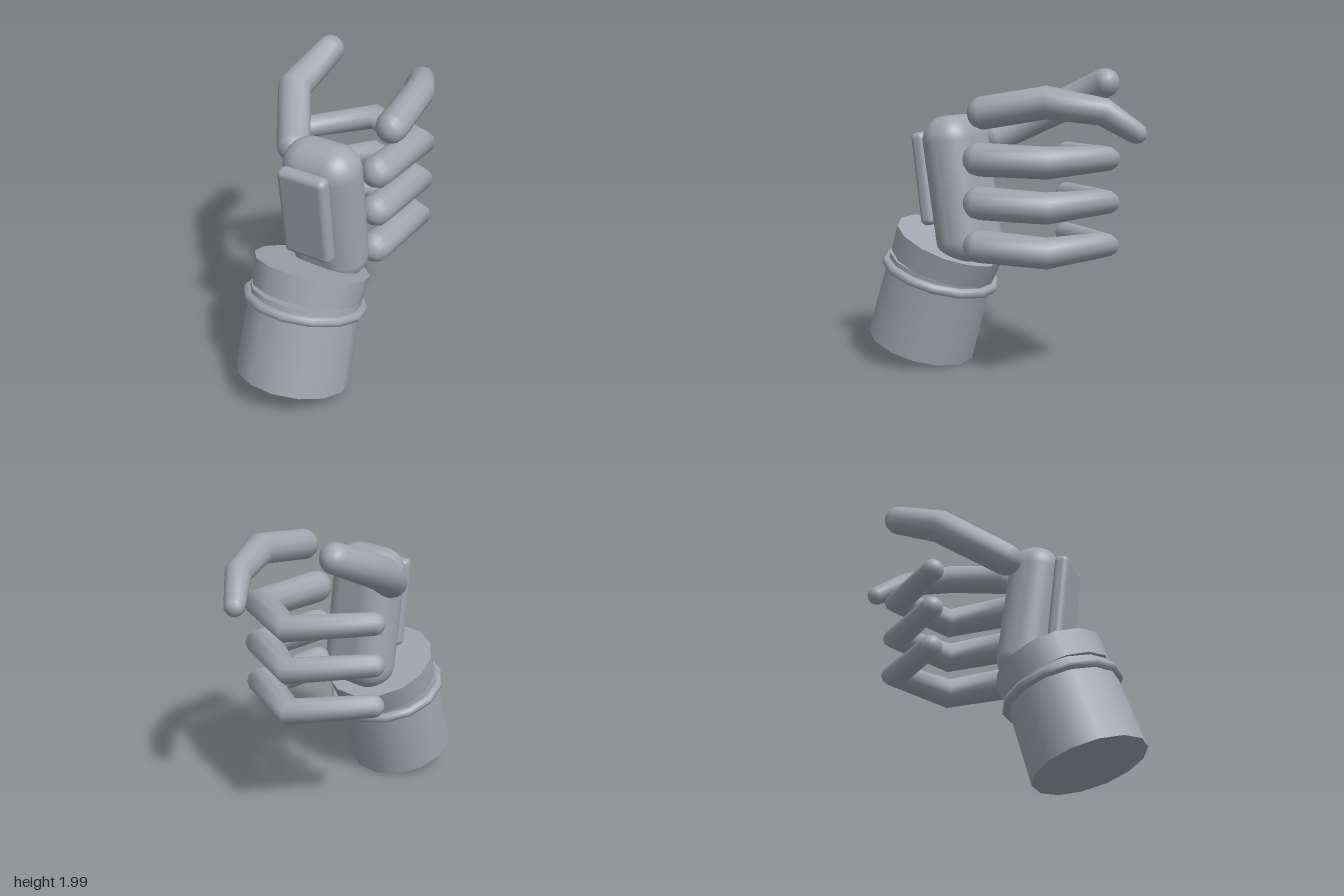
import * as THREE from 'three';
import { mergeVertices } from 'three/addons/utils/BufferGeometryUtils.js';
import { RoundedBoxGeometry } from 'three/addons/geometries/RoundedBoxGeometry.js';

const SIDES = 12, CAP = 5;

// Tapered, mitred tube with round ends; joints are [x, y, z, radius]
function fingerGeometry(joints) {
  const pts = joints.map(([x, y, z]) => new THREE.Vector3(x, y, z));
  const dirs = pts.slice(1).map((p, i) => p.clone().sub(pts[i]).normalize());
  const last = pts.length - 1;
  const positions = [], index = [];

  let u = new THREE.Vector3(0, 1, 0);
  u.addScaledVector(dirs[0], -u.dot(dirs[0])).normalize();

  const addRing = (centre, radius, t, n) => {
    const v = new THREE.Vector3().crossVectors(t, u);
    for (let j = 0; j < SIDES; j++) {
      const a = (j / SIDES) * Math.PI * 2;
      const d = u.clone().multiplyScalar(Math.cos(a) * radius)
        .addScaledVector(v, Math.sin(a) * radius);
      d.addScaledVector(t, -d.dot(n) / t.dot(n)).add(centre); // slide onto mitre plane
      positions.push(d.x, d.y, d.z);
    }
  };
  const addCapRing = (p, r, t, angle) =>
    addRing(p.clone().addScaledVector(t, r * Math.sin(angle)), r * Math.cos(angle), t, t);

  for (let k = 0; k <= CAP; k++) {
    addCapRing(pts[0], joints[0][3], dirs[0], (k / CAP - 1) * Math.PI / 2);
  }
  for (let i = 1; i < last; i++) {
    const n = dirs[i - 1].clone().add(dirs[i]).normalize();
    addRing(pts[i], joints[i][3], dirs[i - 1], n);
    u = u.clone().applyQuaternion(
      new THREE.Quaternion().setFromUnitVectors(dirs[i - 1], dirs[i]));
  }
  for (let k = 0; k <= CAP; k++) {
    addCapRing(pts[last], joints[last][3], dirs[last - 1], (k / CAP) * Math.PI / 2);
  }

  const rings = positions.length / 3 / SIDES;
  for (let i = 0; i < rings - 1; i++) {
    for (let j = 0; j < SIDES; j++) {
      const a = i * SIDES + j, b = i * SIDES + (j + 1) % SIDES;
      index.push(a, b, a + SIDES, b, b + SIDES, a + SIDES);
    }
  }
  let g = new THREE.BufferGeometry();
  g.setAttribute('position', new THREE.Float32BufferAttribute(positions, 3));
  g.setIndex(index);
  g = mergeVertices(g, 1e-4);
  g.computeVertexNormals();
  return g;
}

export function createModel() {
  const hand = new THREE.Group();
  hand.name = 'mechanicalHand';
  const grey = new THREE.MeshStandardMaterial({ color: 0xa2a5af });
  grey.name = 'grey';

  const add = (name, geometry, x = 0, y = 0, z = 0, tilt = 0) => {
    const m = new THREE.Mesh(geometry, grey);
    m.name = name;
    m.position.set(x, y, z);
    m.rotation.x = THREE.MathUtils.degToRad(tilt);
    hand.add(m);
    return m;
  };
  const drum = (rTop, rBottom, h) =>
    new THREE.CylinderGeometry(rTop, rBottom, h, 14, 1, false, Math.PI / 14);

  // Forearm, wrist cuff and ring
  add('forearm', drum(0.366, 0.38, 0.59), 0.105, 0.397, 0.548, -17.3);
  add('wristCuff', drum(0.38, 0.364, 0.18), 0.105, 0.76, 0.425, -22);
  add('wristRing', new THREE.TorusGeometry(0.376, 0.034, 8, 14).rotateX(Math.PI / 2),
    0.105, 0.62, 0.475, -16.5);

  // Palm with a raised plate on the back of the hand
  add('palm', new RoundedBoxGeometry(0.51, 0.98, 0.35, 6, 0.165), 0.142, 1.205, 0.275, 8.5);
  add('backPlate', new RoundedBoxGeometry(0.34, 0.62, 0.1, 4, 0.04), 0.14, 1.27, 0.5, 7);

  // Three level curled fingers
  ['middleFinger', 'ringFinger', 'littleFinger'].forEach((name, i) => {
    add(name, fingerGeometry([
      [0.36, 0, 0.025, 0.108],
      [0.38, 0, -0.455, 0.1],
      [-0.06, 0, -0.65, 0.082],
      [-0.39, 0, -0.24, 0.074],
    ]), 0, [1.425, 1.147, 0.868][i], 0);
  });

  // Raised index finger
  add('indexFinger', fingerGeometry([
    [0.418, 1.722, -0.035, 0.103],
    [0.38, 1.79, -0.45, 0.1],
    [0.24, 1.735, -0.76, 0.084],
    [0.1, 1.605, -0.92, 0.066],
  ]));

  // Thumb
  add('thumb', fingerGeometry([
    [-0.165, 1.535, 0.19, 0.108],
    [-0.41, 1.74, -0.19, 0.11],
    [-0.35, 1.9, -0.53, 0.097],
  ]));

  return hand;
}
